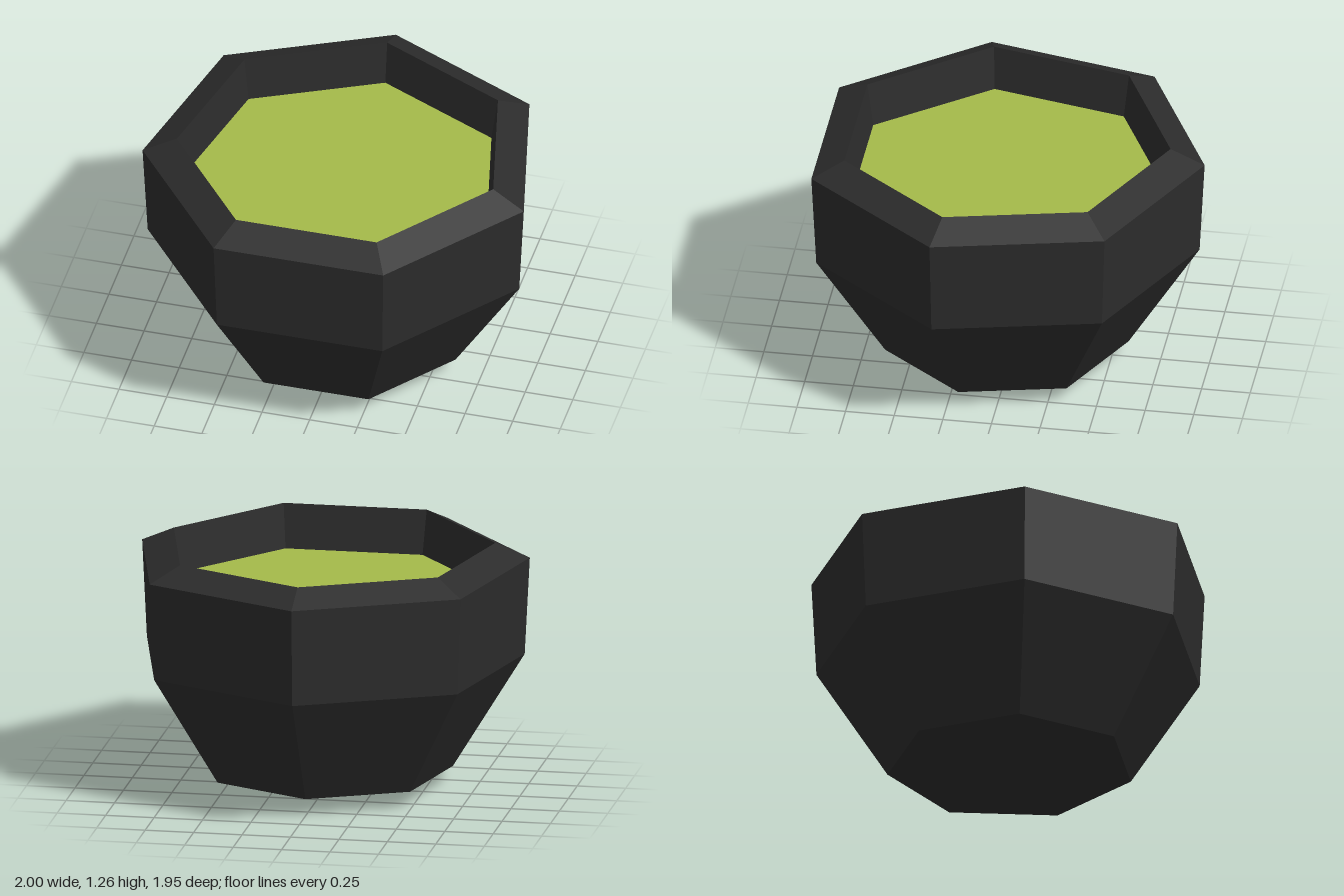
import * as THREE from 'three';

const SIDES = 7;

export function createModel() {
  const group = new THREE.Group();
  group.name = 'bowlOfSoup';

  const darkClay = new THREE.MeshStandardMaterial({ color: 0x2c2c2c, flatShading: true });
  darkClay.name = 'darkClay';
  const greenSoup = new THREE.MeshStandardMaterial({ color: 0xa5ba4a, flatShading: true });
  greenSoup.name = 'greenSoup';

  // Seven-sided bowl: shallow point, flared base, wall, bevelled rim, inner wall
  const profile = [
    [0, 0], [0.635, 0.09], [1.0, 0.675], [1.026, 1.18], [0.851, 1.26], [0.815, 1.03],
  ].map(([r, y]) => new THREE.Vector2(r, y));
  const bowl = new THREE.Mesh(new THREE.LatheGeometry(profile, SIDES, Math.PI), darkClay);
  bowl.name = 'bowl';

  // Flat liquid surface, one corner pointing to the back
  const surface = new THREE.CircleGeometry(0.815, SIDES, Math.PI / 2).rotateX(-Math.PI / 2);
  const soup = new THREE.Mesh(surface, greenSoup);
  soup.name = 'soup';
  soup.position.y = 1.03;

  group.add(bowl, soup);
  // A heptagon is uneven front to back, so shift it to centre its depth
  group.children.forEach((part) => { part.position.z = 0.05; });
  return group;
}
